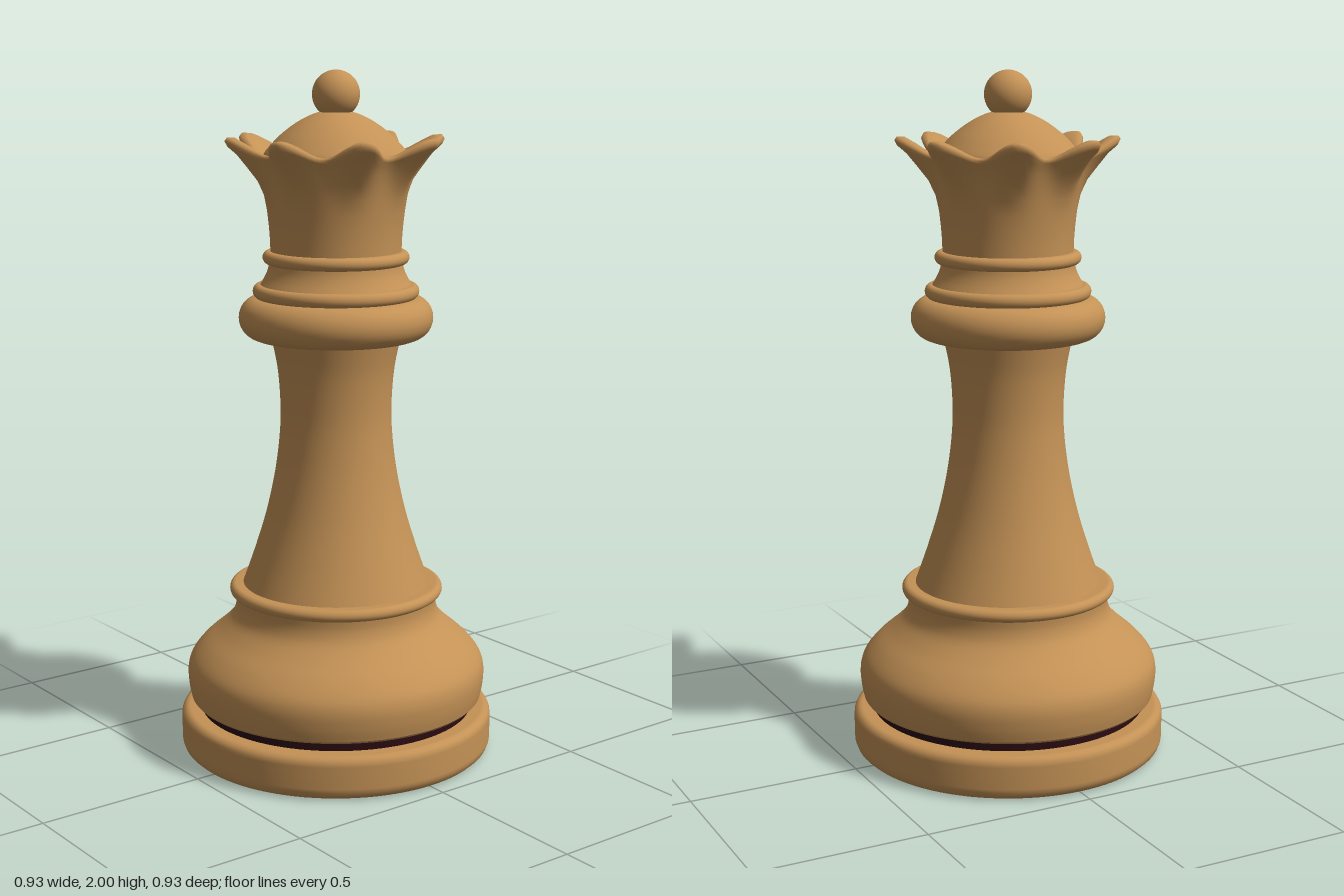
import * as THREE from 'three';
import { mergeVertices } from 'three/addons/utils/BufferGeometryUtils.js';

const SEGMENTS = 96;

export function createModel() {
  const model = new THREE.Group();
  const wood = new THREE.MeshStandardMaterial({ color: 0xc49256 });
  wood.name = 'wood';
  const darkGroove = new THREE.MeshStandardMaterial({ color: 0x2a0c12 });
  darkGroove.name = 'dark groove';

  const add = (name, geometry, material = wood) => {
    const mesh = new THREE.Mesh(geometry, material);
    mesh.name = name;
    model.add(mesh);
    return mesh;
  };
  // Turned part from [radius, height] pairs, listed from bottom to top
  const turned = (name, pairs, smooth = 0, material = wood) => {
    let points = pairs.map(([r, y]) => new THREE.Vector2(r, y));
    if (smooth) points = new THREE.SplineCurve(points).getPoints(smooth);
    points.forEach((p) => { p.x = Math.max(p.x, 0); });
    return add(name, new THREE.LatheGeometry(points, SEGMENTS), material);
  };
  // Rounded ring with an elliptical outer edge
  const ring = (name, inner, outer, bottom, top, bulge) => {
    const pairs = [[inner, bottom]];
    for (let i = 0; i <= 14; i++) {
      const a = -Math.PI / 2 + (Math.PI * i) / 14;
      pairs.push([outer - bulge + bulge * Math.cos(a),
        (bottom + top) / 2 + ((top - bottom) / 2) * Math.sin(a)]);
    }
    pairs.push([inner, top]);
    turned(name, pairs);
  };

  // Foot
  turned('footDisc', [[0, 0], [0.425, 0], [0.435, 0], [0.447, 0.003], [0.457, 0.012],
    [0.462, 0.025], [0.463, 0.035], [0.463, 0.1], [0.462, 0.11], [0.457, 0.12],
    [0.447, 0.126], [0.438, 0.127], [0.3, 0.127]]);
  turned('footGroove', [[0.405, 0.12], [0.405, 0.162]], 0, darkGroove);
  turned('bodyUnderside', [[0.3, 0.155], [0.415, 0.155], [0.427, 0.157], [0.433, 0.164]]);
  turned('body', [[0.433, 0.164], [0.44, 0.2], [0.442, 0.245], [0.43, 0.283], [0.395, 0.325],
    [0.345, 0.368], [0.31, 0.405], [0.297, 0.44], [0.297, 0.475]], 40);
  ring('bodyCollar', 0.25, 0.315, 0.47, 0.506, 0.018);

  // Stem
  turned('stem', [[0.277, 0.5], [0.24, 0.605], [0.205, 0.72], [0.179, 0.84], [0.165, 0.95],
    [0.162, 1.04], [0.17, 1.15], [0.19, 1.25]], 50);

  // Neck rings
  ring('wideRing', 0.15, 0.281, 1.238, 1.357, 0.055);
  ring('middleRing', 0.15, 0.24, 1.354, 1.394, 0.018);
  turned('neck', [[0.22, 1.39], [0.205, 1.415], [0.195, 1.44], [0.19, 1.47]], 16);
  ring('upperRing', 0.15, 0.211, 1.453, 1.49, 0.018);

  // Crown: [radius, height, extra radius at the tips, extra height at the tips]
  const rows = [
    [0.188, 1.48, 0, 0], [0.189, 1.52, 0, 0], [0.192, 1.56, 0, 0], [0.197, 1.605, 0, 0],
    [0.204, 1.65, 0.003, 0], [0.213, 1.69, 0.014, 0.002], [0.223, 1.72, 0.034, 0.01],
    [0.232, 1.742, 0.056, 0.026], [0.239, 1.753, 0.075, 0.037], [0.242, 1.76, 0.08, 0.045],
    [0.24, 1.766, 0.075, 0.049], [0.234, 1.768, 0.06, 0.047], [0.226, 1.764, 0.035, 0.032],
    [0.216, 1.756, 0.012, 0.01], [0.195, 1.745, 0, 0],
  ];
  const crown = new THREE.LatheGeometry(rows.map(([r, y]) => new THREE.Vector2(r, y)), 128);
  const pos = crown.attributes.position;
  for (let i = 0; i < pos.count; i++) {
    const [r, y, dr, dy] = rows[i % rows.length];
    const angle = Math.atan2(pos.getZ(i), pos.getX(i));
    const tip = Math.pow(Math.max(0, 0.5 - 0.5 * Math.cos(8 * angle)), 1.15);
    const radius = r + dr * tip;
    pos.setXYZ(i, radius * Math.cos(angle), y + dy * tip, radius * Math.sin(angle));
  }
  crown.deleteAttribute('normal');
  crown.deleteAttribute('uv');
  const crownJoined = mergeVertices(crown, 1e-5);
  crownJoined.computeVertexNormals();
  add('crown', crownJoined);

  // Dome and ball
  turned('crownDome', [[0.211, 1.735], [0.205, 1.765], [0.183, 1.793], [0.15, 1.825],
    [0.105, 1.857], [0.055, 1.88], [0, 1.889]], 30);
  add('topBall', new THREE.SphereGeometry(0.068, 40, 28)).position.y = 1.932;

  return model;
}
